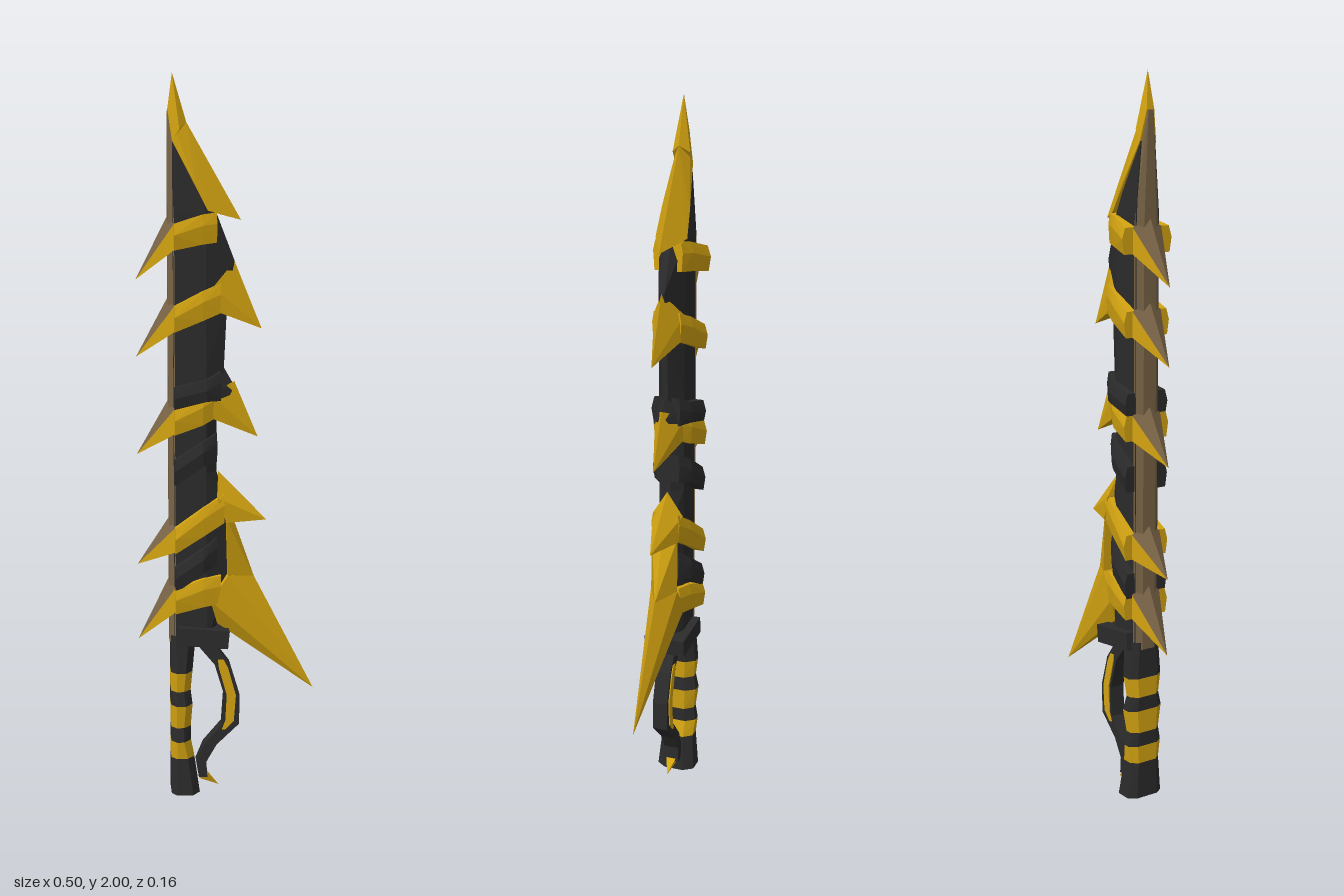
import * as THREE from 'three';
import { mergeGeometries } from 'three/addons/utils/BufferGeometryUtils.js';
import { ConvexGeometry } from 'three/addons/geometries/ConvexGeometry.js';

const makeMaterial = (name, color) => {
  const m = new THREE.MeshStandardMaterial({ color });
  m.name = name;
  return m;
};

// Each point [x, y, z] is mirrored to both sides of the blade plane
const mirrored = (pts) => pts.flatMap(([x, y, z = 0]) => z
  ? [new THREE.Vector3(x, y, z), new THREE.Vector3(x, y, -z)]
  : [new THREE.Vector3(x, y, 0)]);
const hull = (...pts) => new ConvexGeometry(mirrored(pts));

// Chain of hulls between neighbouring cross-sections
const chain = (sections) => mergeGeometries(
  sections.slice(1).map((s, i) => hull(...sections[i], ...s)));

export function createModel() {
  const group = new THREE.Group();
  const yellow = makeMaterial('yellow', 0xd4a411);
  const black = makeMaterial('black', 0x2b2b2c);
  const brown = makeMaterial('brown', 0x786346);
  const add = (name, geometry, material) => {
    const mesh = new THREE.Mesh(geometry, material);
    mesh.name = name;
    group.add(mesh);
    return mesh;
  };

  // Blade: thick at the spine, sharp at the edge; rows are [y, edge x]
  const bladeRows = [[0.44, -0.04], [0.62, 0], [0.8, 0], [0.92, -0.03], [1.1, -0.03],
    [1.2, -0.01], [1.4, 0], [1.5, 0.02], [1.63, -0.03]];
  const bladeSections = bladeRows.map(([y, edge]) => [
    [-0.15, y, 0.037], [-0.06, y, 0.037], [edge, y, 0.008]]);
  bladeSections.push([[-0.15, 1.84, 0.022], [-0.138, 1.84, 0.02]]);
  add('blade', chain(bladeSections), black);

  // Spine strip along the back
  add('spine', chain([[0.44, 0.04, 0.02], [1.6, 0.04, 0.02], [1.9, 0.014, 0.008]].map(
    ([y, z, back]) => [[-0.146, y, z], [-0.163, y, back]])), brown);

  // Hooked point
  add('bladeTip', mergeGeometries([
    hull([-0.148, 2], [-0.161, 1.9, 0.012], [-0.15, 1.82, 0.025], [-0.13, 1.85, 0.025], [-0.11, 1.87]),
    hull([-0.15, 1.82, 0.026], [-0.16, 1.9, 0.012], [-0.11, 1.87], [-0.09, 1.71, 0.04],
      [-0.055, 1.635, 0.045], [0.038, 1.61])]), yellow);

  // Raised bands: sections are [x, top, bottom, half thickness]
  const band = (name, material, rows) => add(name, chain(rows.map(([x, top, bottom, z]) => [
    [x, top, z * 0.88], [x, top - 0.03, z], [x, bottom, z * 0.92]])), material);
  const backBarb = (top, tipY) => {
    const a = [-0.147, top, 0.046], tip = [-0.25, tipY];
    add('barbBack', hull([-0.164, top + 0.02], a, tip), brown);
    add('barb', hull(a, [-0.147, top - 0.07, 0.046], tip), yellow);
  };
  // Rows: back top, front top, barb tip y, half thickness, front x
  [[1.6, 1.63, 1.45, 0.08, -0.03], [1.38, 1.44, 1.24, 0.073, -0.02], [1.1, 1.15, 0.97, 0.073, -0.04],
    [0.77, 0.86, 0.66, 0.073, -0.01], [0.6, 0.63, 0.445, 0.073, -0.02]].forEach(([back, front, tip, z, x]) => {
    band('yellowBand', yellow, [[-0.148, back, back - 0.07, z],
      [-0.07, (back + front) / 2 + 0.01, (back + front) / 2 - 0.07, 0.058], [x, front, front - 0.08, 0.042]]);
    backBarb(back, tip);
  });
  [[0.96, 1.03], [0.66, 0.74]].forEach(([back, front]) => band('blackBand', black, [
    [-0.148, back, back - 0.07, 0.07], [-0.07, back + 0.05, back - 0.02, 0.06], [-0.03, front, front - 0.08, 0.035]]));
  band('upperBlackBand', black, [[-0.148, 1.16, 1.1, 0.07], [-0.06, 1.18, 1.12, 0.06], [-0.02, 1.2, 1.12, 0.04]]);

  // Barbs on the cutting edge
  [
    ['upperHook', [0.02, 1.5], [-0.04, 1.43, 0.044], [-0.02, 1.36, 0.04], [0.095, 1.315]],
    ['middleHook', [0.02, 1.17], [-0.05, 1.14, 0.045], [-0.04, 1.07, 0.04], [0.085, 1.015]],
    ['lowerHook', [-0.025, 0.92], [-0.03, 0.85, 0.045], [-0.005, 0.78, 0.04], [0.11, 0.78]],
  ].forEach(([name, ...pts]) => add(name, hull(...pts), yellow));
  add('middleHookTop', hull([-0.01, 1.21], [-0.06, 1.17, 0.05], [-0.04, 1.12, 0.047], [0.03, 1.14]), black);
  add('largeHookRidge', hull([0.012, 0.8], [-0.005, 0.79, 0.038], [0, 0.61, 0.04], [0.075, 0.62]), yellow);
  add('largeHook', hull([0.075, 0.62], [0, 0.63, 0.04], [-0.05, 0.56, 0.045], [-0.03, 0.49, 0.02],
    [0.245, 0.29]), yellow);

  // Guard
  const guard = add('guard', new THREE.BoxGeometry(0.145, 0.05, 0.12), black);
  guard.position.set(-0.072, 0.457, 0);
  guard.rotation.z = -0.1;

  // Striped grip: rows are [y, front x, half thickness]
  const grip = [[0, -0.08, 0.056], [0.105, -0.095, 0.048], [0.155, -0.105, 0.054], [0.195, -0.105, 0.047],
    [0.26, -0.1, 0.056], [0.3, -0.105, 0.047], [0.355, -0.1, 0.054], [0.46, -0.09, 0.045]];
  const gripSection = ([y, front, z]) => [[-0.16, y, z * 0.6], [-0.145, y, z],
    [front - 0.02, y, z], [front, y, z * 0.5]];
  grip.slice(1).forEach((row, i) => add(i % 2 ? 'gripStripe' : 'grip',
    chain([gripSection(grip[i]), gripSection(row)]), i % 2 ? yellow : black));

  // Knuckle guard: rows are [x, y, half width]
  const bow = (rows, z) => chain(rows.map(([x, y, w]) => [[x - w, y, z], [x + w, y, z]]));
  add('knuckleGuard', bow([[-0.07, 0.44, 0.025], [-0.015, 0.37, 0.022], [0.012, 0.28, 0.022],
    [0.008, 0.195, 0.024], [-0.05, 0.135, 0.018], [-0.075, 0.085, 0.014], [-0.07, 0.04, 0.012]], 0.022), black);
  add('knuckleGuardInlay', bow([[-0.02, 0.385, 0.008], [-0.012, 0.36, 0.013], [0.01, 0.28, 0.013],
    [0.005, 0.205, 0.012], [-0.012, 0.18, 0.005]], 0.025), yellow);
  add('spur', hull([-0.085, 0.065], [-0.08, 0.035, 0.015], [-0.06, 0.05, 0.015], [-0.025, 0.01]), yellow);

  return group;
}
